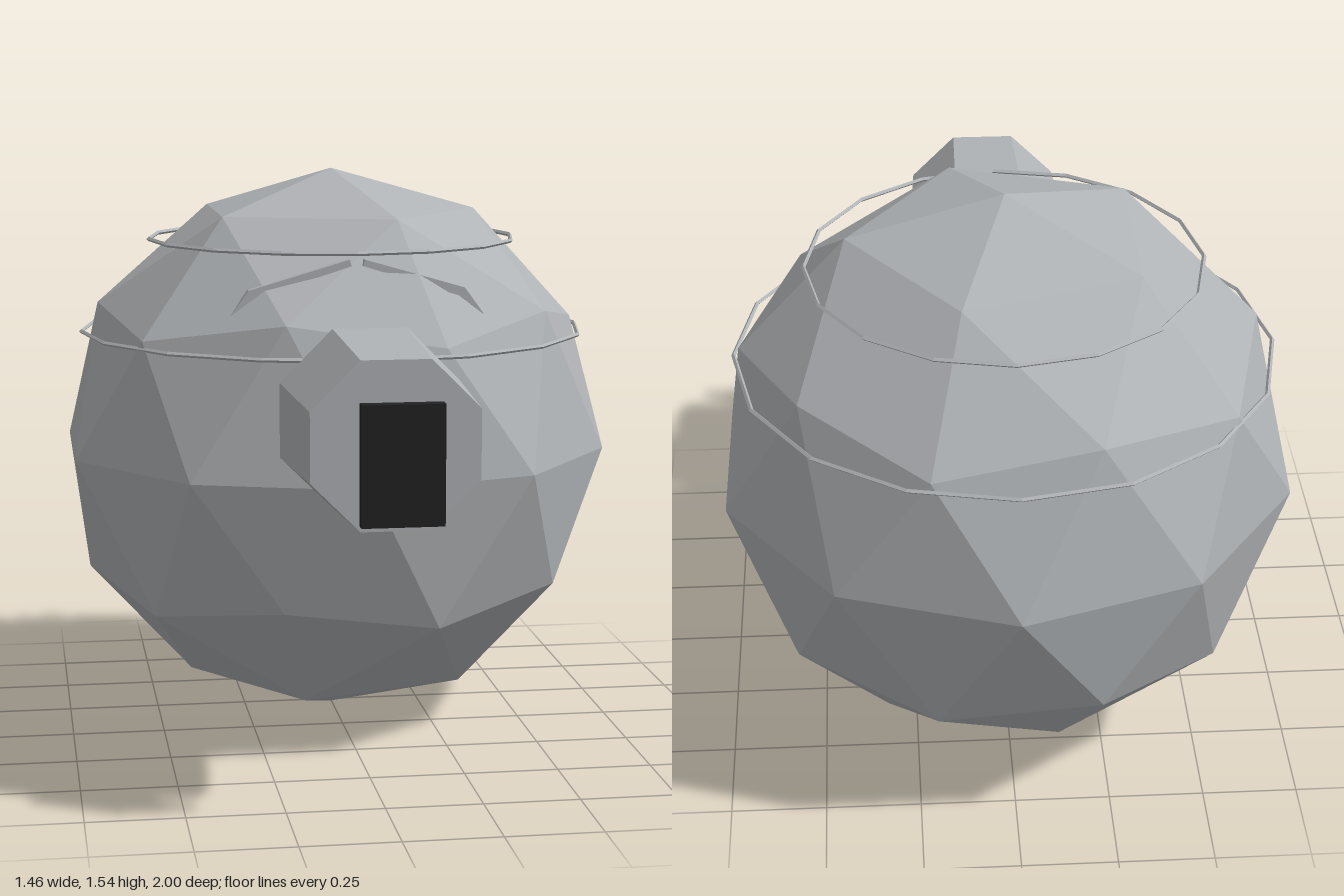
import * as THREE from 'three';

const grey = new THREE.MeshStandardMaterial({ color: 0xb0b3b6 });
grey.name = 'hull grey';
const black = new THREE.MeshStandardMaterial({ color: 0x222222 });
black.name = 'lens black';

const CENTRE_Z = -0.23;

// Two-step icosphere with its corners on the vertical axis
function icosphere(radius) {
  const vertices = [0, 1, 0];
  const h = Math.sqrt(0.2), r = 2 * h;
  for (let ring = 0; ring < 2; ring++) {
    for (let k = 0; k < 5; k++) {
      const a = (k + ring / 2) * Math.PI * 0.4;
      vertices.push(r * Math.cos(a), ring ? -h : h, -r * Math.sin(a));
    }
  }
  vertices.push(0, -1, 0);
  const faces = [];
  for (let k = 0; k < 5; k++) {
    const n = (k + 1) % 5;
    const u0 = 1 + k, u1 = 1 + n, l0 = 6 + k, l1 = 6 + n;
    faces.push(0, u0, u1, u0, l0, u1, l0, l1, u1, 11, l1, l0);
  }
  return new THREE.PolyhedronGeometry(vertices, faces, radius, 1);
}

// Flat-shaded mesh with a name and a position
function part(name, geometry, material, x, y, z) {
  const flat = geometry.index ? geometry.toNonIndexed() : geometry;
  flat.computeVertexNormals();
  const mesh = new THREE.Mesh(flat, material);
  mesh.name = name;
  mesh.position.set(x, y, z);
  return mesh;
}

export function createModel() {
  const model = new THREE.Group();
  model.name = 'sphericalRobot';

  // Faceted body
  model.add(part('body', icosphere(0.768), grey, 0, 0.772, CENTRE_Z));

  // Thin bands around the upper body
  for (const [name, radius, y] of [['upperBand', 0.51, 1.348], ['lowerBand', 0.7, 1.094]]) {
    const band = new THREE.TorusGeometry(radius, 0.006, 4, 16).rotateX(Math.PI / 2);
    model.add(part(name, band, grey, 0, y, CENTRE_Z));
  }

  // Eight-sided snout, narrowing forwards
  const snout = new THREE.CylinderGeometry(0.224, 0.249, 0.41, 8)
    .rotateY(Math.PI / 8).rotateX(Math.PI / 2);
  model.add(part('snout', snout, grey, 0, 0.949, 0.685));

  // Dark plate in front of the snout and dark block behind it
  model.add(part('frontPlate', new THREE.BoxGeometry(0.2, 0.292, 0.035), black, 0, 0.92, 0.9825));
  model.add(part('rearBlock', new THREE.BoxGeometry(0.16, 0.2, 0.03), black, 0, 0.96, 0.465));

  // Mirrored bent brows
  const outline = [[0.015, 1.315], [0.27, 1.234], [0.34, 1.18], [0.285, 1.255], [0.02, 1.332]];
  for (const [name, side] of [['leftBrow', 1], ['rightBrow', -1]]) {
    const shape = new THREE.Shape(outline.map(([x, y]) => new THREE.Vector2(side * x, y)));
    const brow = new THREE.ExtrudeGeometry(shape, { depth: 0.025, bevelEnabled: false });
    model.add(part(name, brow, grey, 0, 0, 0.245));
  }

  return model;
}
